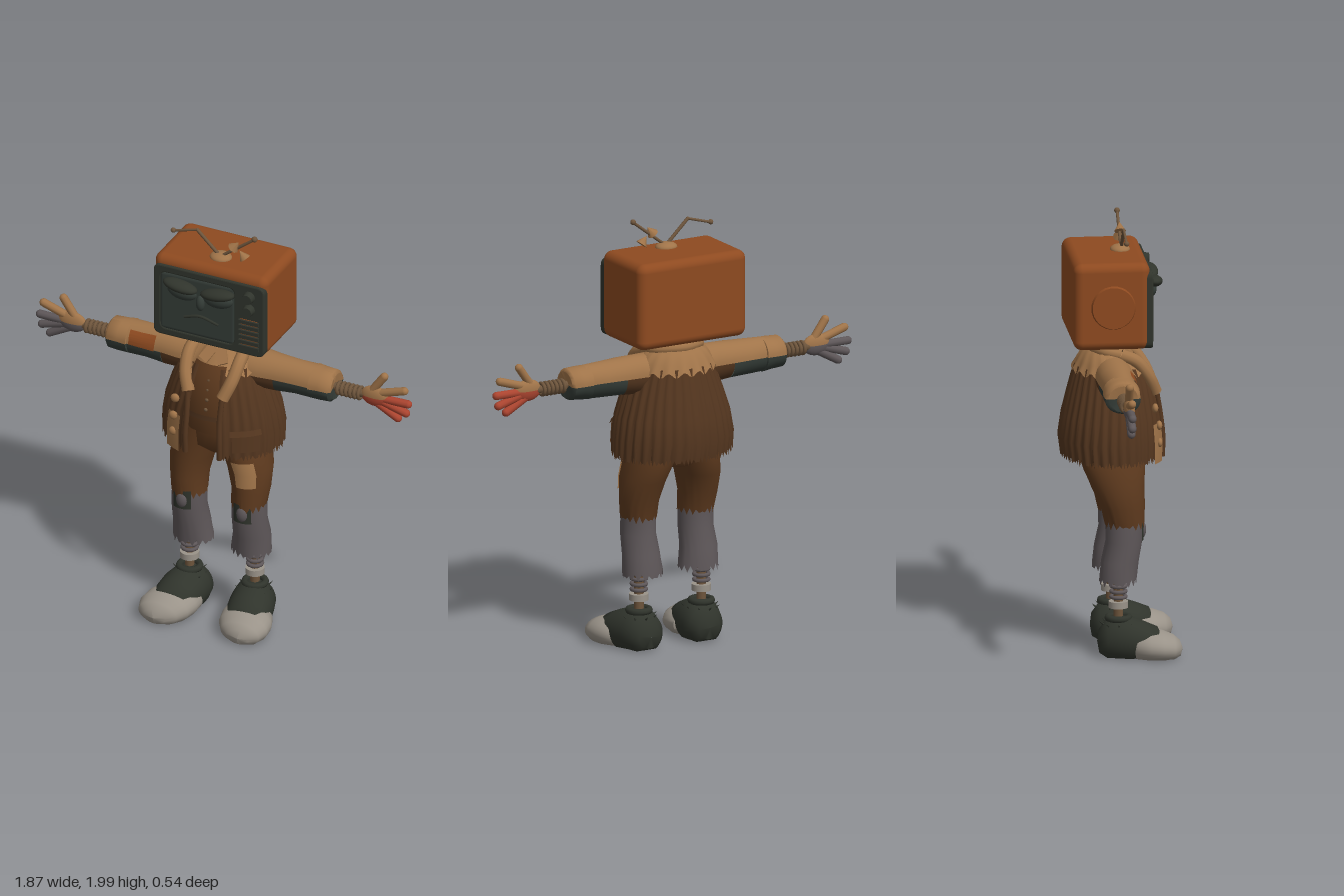
import * as THREE from 'three';
import { toCreasedNormals } from 'three/addons/utils/BufferGeometryUtils.js';
import { RoundedBoxGeometry } from 'three/addons/geometries/RoundedBoxGeometry.js';

const V = (x, y, z) => new THREE.Vector3(x, y, z);
const TAU = Math.PI * 2;

function paint(name, color, twoSided) {
  const m = new THREE.MeshStandardMaterial({ color });
  m.name = name;
  if (twoSided) m.side = THREE.DoubleSide;
  return m;
}

// Skin over elliptical rows [height, centreX, centreZ, radiusX, radiusZ]; angle 0 faces +z.
// shape(angle, row, column) may return [radius scale, height offset].
function loft(rows, n = 28, a0 = 0, a1 = TAU, shape = () => [1, 0]) {
  const pos = [], index = [];
  rows.forEach(([y, cx, cz, rx, rz], i) => {
    for (let j = 0; j <= n; j++) {
      const a = a0 + (a1 - a0) * j / n, [k, dy] = shape(a, i, j);
      pos.push(cx + rx * k * Math.sin(a), y + dy, cz + rz * k * Math.cos(a));
      if (i && j < n) {
        const p = (i - 1) * (n + 1) + j, q = p + n + 1;
        index.push(p, p + 1, q + 1, p, q + 1, q);
      }
    }
  });
  const g = new THREE.BufferGeometry();
  g.setAttribute('position', new THREE.Float32BufferAttribute(pos, 3));
  g.setIndex(index);
  return toCreasedNormals(g, 0.9);
}

const jag = j => 0.022 * Math.abs(Math.sin(j * 12.9)) * (j % 2 ? 1 : -0.5);
const roundRect = (s, x0, y0, x1, y1, r) => {
  s.moveTo(x0 + r, y0); s.lineTo(x1 - r, y0); s.quadraticCurveTo(x1, y0, x1, y0 + r);
  s.lineTo(x1, y1 - r); s.quadraticCurveTo(x1, y1, x1 - r, y1);
  s.lineTo(x0 + r, y1); s.quadraticCurveTo(x0, y1, x0, y1 - r);
  s.lineTo(x0, y0 + r); s.quadraticCurveTo(x0, y0, x0 + r, y0);
  return s;
};

export function createModel() {
  const model = new THREE.Group();
  const orange = paint('cabinet orange', 0x8e4a20), dark = paint('charcoal', 0x30342c);
  const slate = paint('slate green', 0x343c37, true), tan = paint('tan cloth', 0xa07449, true);
  const brown = paint('coat brown', 0x54361f, true), trouser = paint('trouser brown', 0x5e3a1e, true);
  const denim = paint('faded grey', 0x5e5759, true), pale = paint('toe cap grey', 0x9a9389);
  const red = paint('red glove', 0xac4530, true), metal = paint('rusty metal', 0x6e553c);

  const add = (name, geo, mat, p = [0, 0, 0], parent = model) => {
    const m = new THREE.Mesh(geo, mat);
    m.name = name; m.position.set(...p); parent.add(m);
    return m;
  };
  const ball = (name, mat, p, s, parent) => {
    const m = add(name, new THREE.SphereGeometry(1, 20, 14), mat, p, parent);
    m.scale.set(...s);
    return m;
  };
  const rod = (name, a, b, r, mat, parent) => {
    const g = new THREE.CapsuleGeometry(r, a.distanceTo(b), 4, 10);
    const m = add(name, g, mat, a.clone().lerp(b, 0.5).toArray(), parent);
    m.quaternion.setFromUnitVectors(V(0, 1, 0), b.clone().sub(a).normalize());
    return m;
  };
  const tube = (name, pts, r, mat, parent) =>
    add(name, new THREE.TubeGeometry(new THREE.CatmullRomCurve3(pts), 24, r, 10), mat, [0, 0, 0], parent);
  const ringY = (name, r, t, mat, p, parent) =>
    add(name, new THREE.TorusGeometry(r, t, 8, 20).rotateX(Math.PI / 2), mat, p, parent);

  // Television head
  add('cabinet', new RoundedBoxGeometry(0.565, 0.4, 0.345, 5, 0.04), orange, [0, 1.65, -0.055]);
  const frame = roundRect(new THREE.Shape(), -0.268, 1.458, 0.272, 1.805, 0.03);
  frame.holes.push(roundRect(new THREE.Path(), -0.245, 1.48, 0.135, 1.782, 0.04));
  add('screenFrame', new THREE.ExtrudeGeometry(frame, { depth: 0.035, bevelSize: 0.006, bevelThickness: 0.006, bevelSegments: 2 }), dark, [0, 0, 0.09]);
  add('screen', new RoundedBoxGeometry(0.39, 0.31, 0.05, 4, 0.024), slate, [-0.055, 1.631, 0.105]);
  for (const s of [-1, 1]) {
    const lid = ball('eyelid', slate, [-0.04 + s * 0.09, 1.7, 0.125], [0.075, 0.042, 0.035]);
    lid.rotation.z = s * 0.08;
    const brow = ball('eyebrow', dark, [-0.04 + s * 0.093, 1.735, 0.145], [0.085, 0.027, 0.042]);
    brow.rotation.z = s * 0.14;
  }
  ball('nose', slate, [-0.04, 1.66, 0.125], [0.022, 0.04, 0.024]);
  tube('mouth', [V(-0.12, 1.57, 0.129), V(-0.04, 1.592, 0.132), V(0.05, 1.568, 0.129)], 0.007, dark);
  for (const y of [1.755, 1.69])
    add('dial', new THREE.CylinderGeometry(0.024, 0.029, 0.035, 18).rotateX(Math.PI / 2), dark, [0.205, y, 0.145]);
  add('speakerBack', new THREE.BoxGeometry(0.085, 0.15, 0.006), orange, [0.205, 1.56, 0.131]);
  for (let i = 0; i < 6; i++)
    add('speakerSlat', new THREE.BoxGeometry(0.1, 0.017, 0.018), dark, [0.205, 1.495 + i * 0.026, 0.135]);
  add('sideDisc', new THREE.CylinderGeometry(0.095, 0.105, 0.025, 32).rotateZ(Math.PI / 2), orange, [-0.283, 1.65, -0.05]);

  // Aerial
  ball('aerialBase', tan, [0.005, 1.85, 0.01], [0.052, 0.024, 0.045]);
  rod('aerialRod', V(0, 1.86, 0.015), V(-0.11, 1.965, 0.015), 0.008, metal);
  rod('aerialRod', V(-0.11, 1.965, 0.015), V(-0.225, 1.932, 0.015), 0.006, metal);
  rod('aerialRod', V(0.01, 1.86, 0.015), V(0.17, 1.982, 0.015), 0.007, metal);
  ball('aerialTip', metal, [-0.23, 1.932, 0.015], [0.012, 0.012, 0.012]);
  ball('aerialTip', metal, [0.175, 1.987, 0.015], [0.013, 0.013, 0.013]);
  for (const s of [-1, 1]) {
    const bow = add('aerialBow', new THREE.ConeGeometry(0.027, 0.045, 8), tan, [0.1 + s * 0.016, 1.915 - s * 0.02, 0.018]);
    bow.rotation.z = s * 0.67;
  }

  // Neck and shirt
  add('neck', new THREE.CylinderGeometry(0.025, 0.025, 0.12, 14), metal, [0, 1.42, -0.02]);
  for (let i = 0; i < 3; i++) ringY('neckCoil', 0.032, 0.009, metal, [0, 1.405 + i * 0.022, -0.02]);
  add('shirt', loft([[1.29, 0, -0.03, 0.15, 0.145], [1.36, 0, -0.035, 0.12, 0.1], [1.41, 0, -0.03, 0.06, 0.055], [1.42, 0, -0.03, 0.001, 0.001]]), tan);
  add('waistcoat', loft([[0.99, 0, -0.03, 0.2, 0.165], [1.09, 0, -0.03, 0.22, 0.185], [1.2, 0, -0.03, 0.2, 0.175], [1.29, 0, -0.03, 0.17, 0.153], [1.33, 0, -0.03, 0.14, 0.125]]), trouser);
  add('waistBand', loft([[1.075, 0, -0.03, 0.222, 0.192], [1.1, 0, -0.03, 0.222, 0.192]]), brown);
  for (let i = 0; i < 4; i++) ball('waistcoatButton', metal, [0, 1.13 + i * 0.045, 0.157 - i * 0.011], [0.009, 0.009, 0.006]);

  // Ribbed coat with a ragged hem, and its tan yoke
  const ribs = (a, i, j) => [1 + 0.018 * Math.cos(a * 34), i === 0 ? jag(j) : 0];
  add('coat', loft([[0.91, 0, -0.03, 0.282, 0.225], [1, 0, -0.035, 0.284, 0.233], [1.1, 0, -0.032, 0.268, 0.222], [1.2, 0, -0.03, 0.236, 0.2],
    [1.27, 0, -0.03, 0.21, 0.182], [1.33, 0, -0.037, 0.186, 0.158]], 170, 0.3, TAU - 0.3, ribs), brown);
  add('yoke', loft([[1.305, 0, -0.033, 0.204, 0.176], [1.35, 0, -0.046, 0.182, 0.142], [1.39, 0, -0.06, 0.15, 0.105], [1.42, 0, -0.065, 0.1, 0.07], [1.43, 0, -0.065, 0.04, 0.03]],
    80, 0.42, TAU - 0.42, (a, i) => [1 + 0.01 * Math.cos(a * 17), i ? 0 : 0.012 * Math.cos(a * 17)]), tan);
  tube('collar', [V(0.12, 1.39, 0), V(0.11, 1.41, -0.08), V(0, 1.415, -0.13), V(-0.11, 1.41, -0.08), V(-0.12, 1.39, 0)], 0.026, tan);
  for (const s of [-1, 1]) {
    tube('lapel', [V(s * 0.12, 1.39, 0), V(s * 0.125, 1.36, 0.07), V(s * 0.115, 1.29, 0.125), V(s * 0.085, 1.21, 0.16)], 0.03, tan);
    const flap = add('shirtCollar', new THREE.BoxGeometry(0.05, 0.075, 0.012), tan, [s * 0.034, 1.365, 0.06]);
    flap.rotation.set(-0.7, 0, s * 0.45);
    tube('coatEdge', [V(s * 0.085, 1.21, 0.165), V(s * 0.082, 1.1, 0.183), V(s * 0.085, 1, 0.193), V(s * 0.085, 0.91, 0.19)], 0.013, brown);
  }
  add('coatPatch', loft([[0.9, 0, -0.03, 0.295, 0.238], [1, 0, -0.035, 0.296, 0.244], [1.08, 0, -0.033, 0.283, 0.235]], 8, -0.74, -0.42), tan);
  add('coatPocket', loft([[0.95, 0, -0.032, 0.295, 0.238], [1.05, 0, -0.034, 0.288, 0.238]], 8, 0.5, 0.98), brown);
  add('pocketFlap', loft([[1.035, 0, -0.034, 0.299, 0.249], [1.06, 0, -0.034, 0.289, 0.239]], 8, 0.47, 1.01), brown);
  [[0.99, 0.172], [1.07, 0.17], [1.15, 0.152]].forEach(([y, z]) => ball('coatButton', tan, [-0.155, y, z], [0.021, 0.021, 0.014]));

  // Trouser seat
  add('trouserSeat', loft([[0.86, 0, -0.035, 0.09, 0.1], [0.9, 0, -0.03, 0.17, 0.14], [1, 0, -0.03, 0.195, 0.155], [1.07, 0, -0.03, 0.19, 0.155]]), trouser);

  for (const s of [1, -1]) {
    const side = new THREE.Group();
    side.name = s > 0 ? 'leftLimbs' : 'rightLimbs';
    side.scale.x = s;
    model.add(side);
    const part = (name, geo, mat, p) => add(name, geo, mat, p, side);

    // Sleeve, tan above and darker below
    const sleeve = (name, rows, a0, a1, mat) => part(name,
      loft(rows.map(([x, r, q]) => [x, 0, 0, r, q]), 16, a0, a1, (a, i) => [1 + 0.025 * Math.sin(3 * a + 2 * i), 0]).rotateZ(-Math.PI / 2), mat, [0, 1.297, -0.035]);
    const arm = [[0.12, 0.088, 0.088], [0.2, 0.09, 0.086], [0.28, 0.086, 0.08], [0.37, 0.08, 0.076], [0.47, 0.078, 0.075]];
    sleeve('sleeveTop', arm, Math.PI, TAU, tan);
    sleeve('sleeveUnder', arm.slice(0, 3), 0, Math.PI, brown);
    sleeve('sleeveUnder', arm.slice(2), 0, Math.PI, slate);
    const cuff = [[0.45, 0.065, 0.065], [0.455, 0.078, 0.084], [0.5, 0.075, 0.082], [0.55, 0.072, 0.08], [0.562, 0.06, 0.065], [0.562, 0.06, 0.065], [0.55, 0.001, 0.001]];
    sleeve('cuffTop', cuff, Math.PI, TAU, tan);
    sleeve('cuffUnder', cuff, 0, Math.PI, slate);
    if (s < 0) sleeve('sleevePatch', [[0.31, 0.092, 0.089], [0.38, 0.086, 0.083], [0.44, 0.086, 0.083]], TAU - 0.85, TAU - 0.02, orange);

    // Sprung forearm
    rod('forearmRod', V(0.5, 1.295, -0.032), V(0.72, 1.295, -0.032), 0.019, metal, side);
    for (let i = 0; i < 6; i++)
      part('forearmCoil', new THREE.TorusGeometry(0.026, 0.009, 8, 18).rotateY(Math.PI / 2), metal, [0.575 + i * 0.021, 1.293, -0.032]);

    // Hand, with its lower half in another colour
    const glove = s > 0 ? red : denim;
    for (const [name, start, mat] of [['palmTop', 0, tan], ['palmUnder', Math.PI / 2, glove]])
      part(name, new THREE.SphereGeometry(1, 20, 8, 0, TAU, start, Math.PI / 2).scale(0.07, 0.05, 0.026), mat, [0.755, 1.297, -0.03]);
    const fingers = [['thumb', 0.745, 1.33, 0.8, 1.408, tan], ['indexFinger', 0.78, 1.32, 0.9, 1.358, tan],
      ['middleFinger', 0.78, 1.293, 0.918, 1.294, glove], ['ringFinger', 0.78, 1.282, 0.908, 1.245, glove], ['littleFinger', 0.755, 1.272, 0.868, 1.21, glove]];
    for (const [name, x0, y0, x1, y1, mat] of fingers) rod(name, V(x0, y0, -0.03), V(x1, y1, -0.032), 0.019, mat, side);

    // Upper and lower trouser legs
    const ragged = (a, i, j) => [1 + 0.02 * Math.sin(3 * a + i * 2), i ? 0 : jag(j)];
    part('thigh', loft([[0.61, 0.148, 0.015, 0.08, 0.087], [0.7, 0.153, 0.004, 0.087, 0.1], [0.8, 0.143, -0.016, 0.1, 0.122], [0.9, 0.112, -0.03, 0.108, 0.142], [1, 0.085, -0.03, 0.105, 0.14]], 36, 0, TAU, ragged), trouser);
    part('lowerLeg', loft([[0.35, 0.145, -0.017, 0.094, 0.084], [0.45, 0.15, -0.008, 0.086, 0.085], [0.54, 0.15, 0.012, 0.08, 0.083], [0.635, 0.149, 0.012, 0.079, 0.085]], 36, 0, TAU, ragged), denim);
    part('kneeHole', loft([[0.545, 0.15, 0.012, 0.084, 0.088], [0.64, 0.149, 0.012, 0.084, 0.09]], 10, -0.55, 0.55), dark);
    ball('kneeCap', denim, [0.15, 0.59, 0.09], [0.028, 0.04, 0.022], side);
    if (s > 0) part('thighPatch', loft([[0.735, 0.149, 0, 0.097, 0.114], [0.8, 0.143, -0.016, 0.106, 0.13], [0.86, 0.125, -0.022, 0.112, 0.139]], 8, -0.2, 0.75), tan);

    // Sprung ankle
    rod('shinRod', V(0.163, 0.17, -0.015), V(0.163, 0.42, -0.015), 0.022, metal, side);
    for (let i = 0; i < 4; i++) ringY('shinCoil', 0.033, 0.009, denim, [0.163, 0.285 + i * 0.025, -0.015], side);
    part('ankleRing', new THREE.CylinderGeometry(0.044, 0.044, 0.03, 20), pale, [0.163, 0.25, -0.015]);

    // Shoe, flattened along the sole
    const shoe = (name, rows, mat) => {
      const g = loft(rows.map(([z, x, y, rx, ry]) => [z, x, -y, rx, ry]), 30).rotateX(Math.PI / 2), p = g.attributes.position;
      for (let i = 0; i < p.count; i++) p.setY(i, Math.max(p.getY(i), 0.012));
      part(name, toCreasedNormals(g, 0.9), mat);
    };
    shoe('shoeUpper', [[-0.11, 0.155, 0.08, 0.001, 0.001], [-0.1, 0.155, 0.08, 0.055, 0.055], [-0.07, 0.156, 0.085, 0.085, 0.09], [-0.02, 0.16, 0.09, 0.1, 0.108],
      [0.04, 0.17, 0.085, 0.106, 0.106], [0.1, 0.178, 0.085, 0.1, 0.085], [0.16, 0.185, 0.08, 0.085, 0.065], [0.19, 0.19, 0.08, 0.001, 0.001]], dark);
    shoe('toeCap', [[0.045, 0.172, 0.065, 0.09, 0.06], [0.06, 0.175, 0.065, 0.113, 0.067], [0.12, 0.187, 0.063, 0.124, 0.075], [0.18, 0.197, 0.06, 0.12, 0.07],
      [0.23, 0.205, 0.055, 0.095, 0.056], [0.258, 0.208, 0.052, 0.055, 0.035], [0.27, 0.21, 0.05, 0.001, 0.001]], pale);
    ringY('shoeOpening', 0.047, 0.016, dark, [0.163, 0.188, -0.015], side);
    for (let i = 0; i < 9; i++) {
      const a = i * 0.7 + 0.3, d = V(Math.sin(a), 0.75, Math.cos(a)).normalize();
      const root = V(0.163 + 0.075 * d.x, 0.095 + 0.095 * d.y, -0.01 + 0.08 * d.z);
      const spike = part('shoeTuft', new THREE.ConeGeometry(0.008, 0.04, 5), dark, root.addScaledVector(d, 0.015).toArray());
      spike.quaternion.setFromUnitVectors(V(0, 1, 0), d);
    }
  }
  return model;
}
